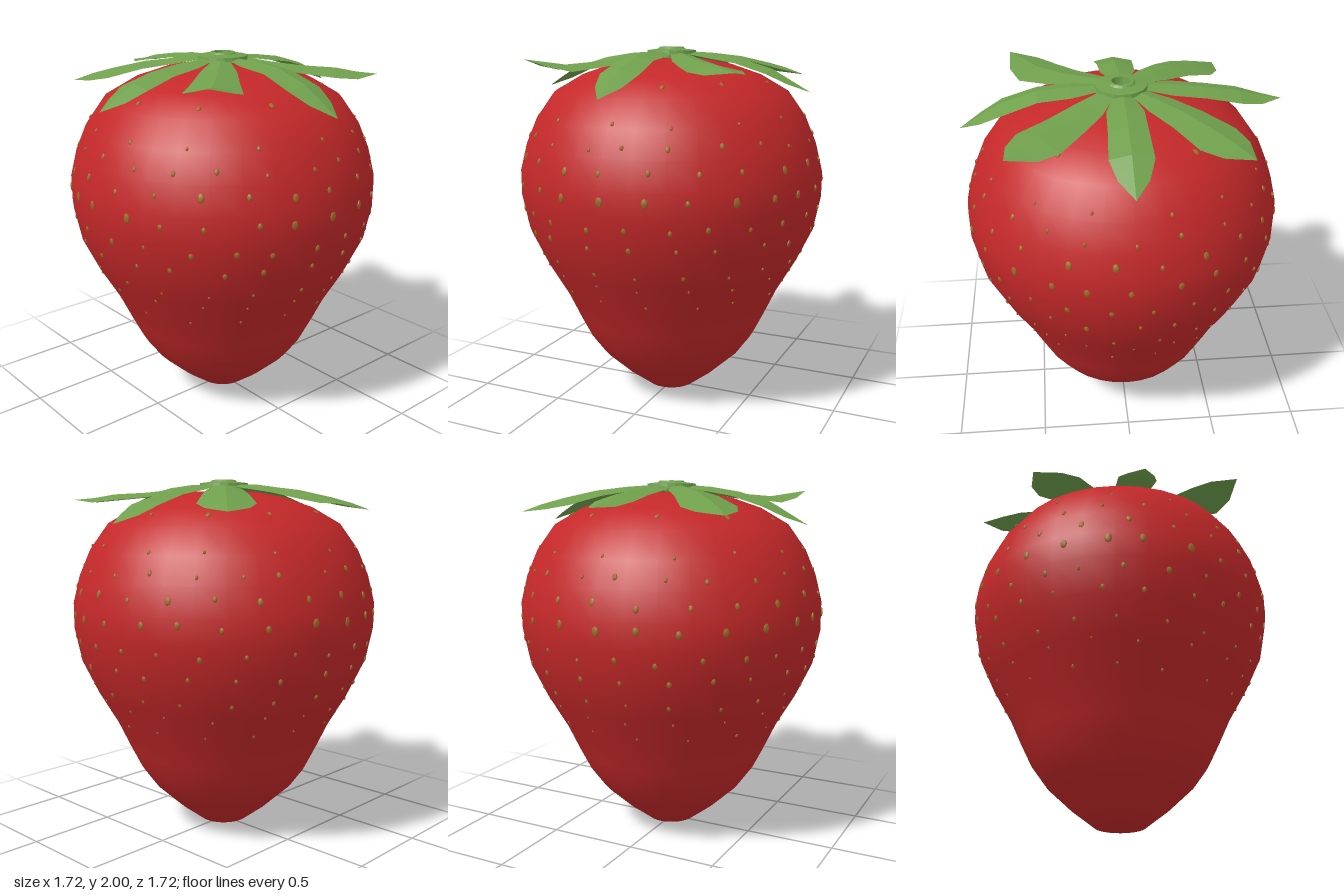
import * as THREE from 'three';

const red = new THREE.MeshStandardMaterial({ color: 0xc42829 });
red.name = 'berry red';
const green = new THREE.MeshStandardMaterial({ color: 0x6f9f4c, flatShading: true, side: THREE.DoubleSide });
green.name = 'leaf green';
const tan = new THREE.MeshStandardMaterial({ color: 0xa06a28 });
tan.name = 'seed tan';

// Berry outline, radius and height, from tip to crown
const PROFILE = [
  [0, 0.02], [0.06, 0.003], [0.14, 0.02], [0.27, 0.12], [0.41, 0.25], [0.49, 0.36], [0.55, 0.48],
  [0.62, 0.63], [0.725, 0.81], [0.815, 1.0], [0.853, 1.19], [0.853, 1.33], [0.815, 1.48],
  [0.755, 1.62], [0.655, 1.76], [0.5, 1.85], [0.34, 1.905], [0.18, 1.935], [0, 1.935],
];

const lathe = (points, segments) =>
  new THREE.LatheGeometry(points.map(([r, y]) => new THREE.Vector2(r, y)), segments);

function add(group, name, geometry, material) {
  const mesh = new THREE.Mesh(geometry, material);
  mesh.name = name;
  group.add(mesh);
  return mesh;
}

// Radius and slope angle of the berry at a height
function surfaceAt(y) {
  for (let i = 2; i < PROFILE.length; i++) {
    const [r0, y0] = PROFILE[i - 1], [r1, y1] = PROFILE[i];
    if (y >= y0 && y <= y1) {
      return { r: r0 + (r1 - r0) * (y - y0) / (y1 - y0), tilt: Math.atan2(r1 - r0, y1 - y0) };
    }
  }
}

let state = 7;
const rand = () => (state = (state * 16807) % 2147483647) / 2147483647;

// A leaf with a raised midrib: a row of three points per cross-section
function leafGeometry(angle, length, widths, heights) {
  const stations = [0.1, 0.25, 0.42, 0.6, 0.71, 0.82];
  const position = [], index = [];
  const c = Math.cos(angle), s = Math.sin(angle);
  stations.forEach((t, i) => {
    const r = t * length / 0.82;
    for (let j = -1; j <= 1; j++) {
      const w = j * widths[i];
      position.push(r * c - w * s, heights[i] - Math.abs(w) * 0.22, r * s + w * c);
    }
    if (i === 0) return;
    for (let j = 0; j < 2; j++) {
      const a = (i - 1) * 3 + j, b = i * 3 + j;
      index.push(a, a + 1, b, a + 1, b + 1, b);
    }
  });
  const g = new THREE.BufferGeometry();
  g.setAttribute('position', new THREE.Float32BufferAttribute(position, 3));
  g.setIndex(index);
  g.computeVertexNormals();
  return g;
}

export function createModel() {
  const model = new THREE.Group();
  model.name = 'strawberry';
  add(model, 'berry', lathe(PROFILE, 32), red);

  // Seeds: flat ovals in staggered rings
  const seeds = new THREE.Group();
  seeds.name = 'seeds';
  model.add(seeds);
  const seedShape = new THREE.SphereGeometry(1, 6, 4);
  // height, count, half height
  const rows = [
    [1.81, 10, 0.018], [1.64, 14, 0.012], [1.53, 22, 0.016], [1.41, 22, 0.021], [1.28, 24, 0.024],
    [1.13, 24, 0.018], [1.02, 22, 0.017], [0.88, 20, 0.013], [0.79, 18, 0.01], [0.68, 16, 0.011],
  ];
  rows.forEach(([y, count, size], row) => {
    for (let i = 0; i < count; i++) {
      const height = y + (rand() - 0.5) * 0.03;
      const { r, tilt } = surfaceAt(height);
      const pivot = new THREE.Group();
      pivot.rotation.y = (i + (row % 2) / 2 + (rand() - 0.5) * 0.25) / count * Math.PI * 2;
      const k = size * (0.7 + rand() * 0.5);
      const seed = add(pivot, 'seed', seedShape, tan);
      seed.scale.set(k * 0.72, k, 0.008);
      seed.position.set(0, height, r - 0.002);
      seed.rotation.x = tilt;
      seeds.add(pivot);
    }
  });
  const topSeed = add(seeds, 'topSeed', seedShape, tan);
  topSeed.scale.set(0.015, 0.008, 0.02);
  topSeed.position.y = 1.937;

  // Leaves: slim ones along the axes, broad ones on the diagonals
  const slim = [0.045, 0.095, 0.1, 0.11, 0.075, 0];
  const broad = [0.045, 0.095, 0.12, 0.15, 0.11, 0];
  const droop = [1.975, 1.965, 1.94, 1.89, 1.83, 1.77];
  const low = [1.975, 1.965, 1.945, 1.905, 1.875, 1.835];
  const leaves = [
    [0.85, slim, [1.975, 1.975, 1.96, 1.9, 1.835, 1.765]],
    [0.83, broad, [1.975, 1.95, 1.925, 1.91, 1.925, 1.94]],
    [0.8, slim, droop],
    [0.83, broad, low],
    [0.85, slim, [1.975, 1.97, 1.95, 1.92, 1.89, 1.87]],
    [0.84, broad, low],
    [0.8, slim, droop],
    [0.84, broad, [1.975, 1.95, 1.93, 1.92, 1.9, 1.89]],
  ];
  leaves.forEach(([length, widths, heights], i) =>
    add(model, 'leaf', leafGeometry(i * Math.PI / 4, length, widths, heights), green));

  // Stem scar: a low disc with a small open ring
  add(model, 'stemBase', lathe(
    [[0.14, 1.955], [0.135, 1.982], [0.075, 1.99], [0.065, 2.0], [0.05, 2.0], [0.042, 1.94]], 20), green);
  return model;
}
